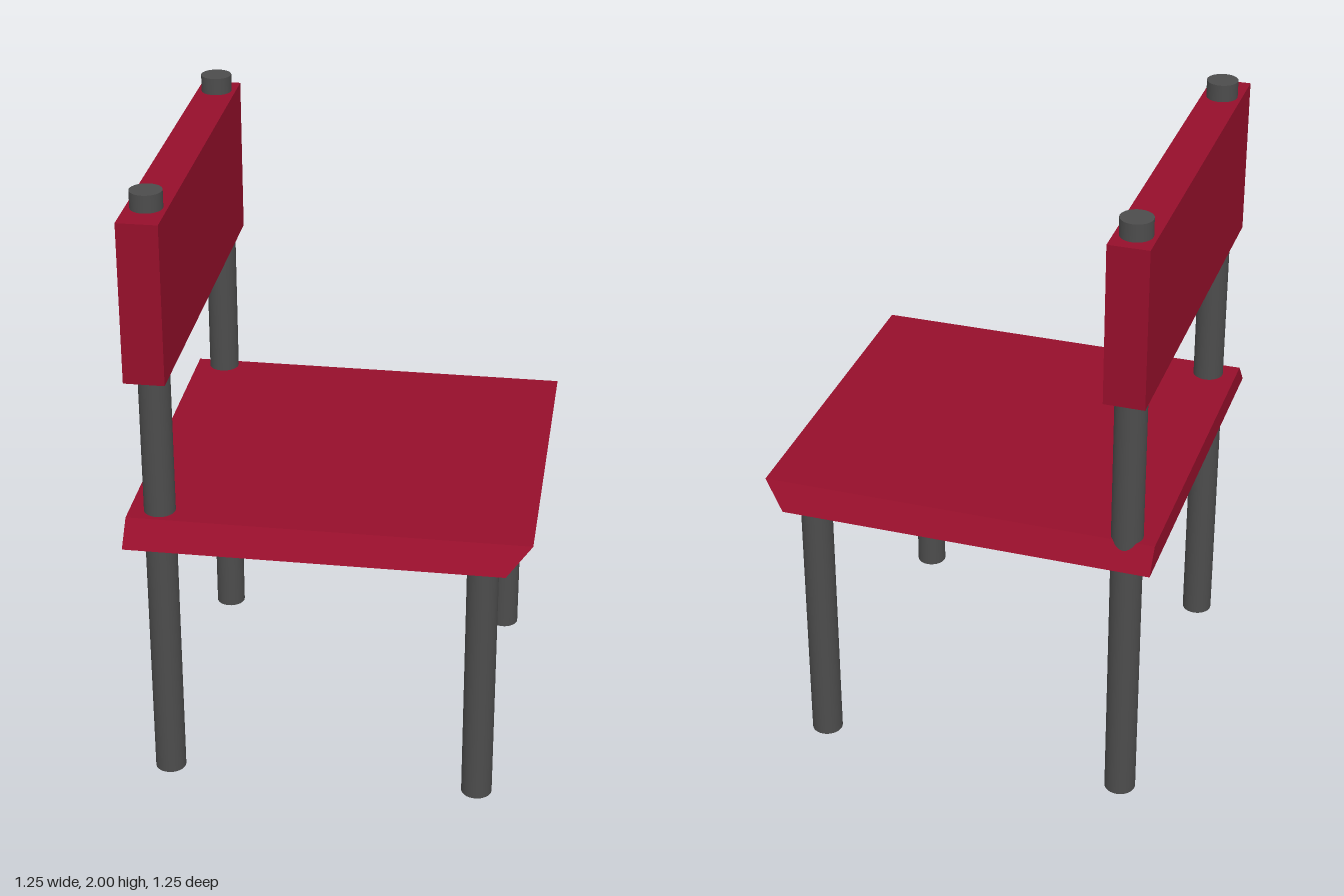
import * as THREE from 'three';

const red = new THREE.MeshStandardMaterial({ color: 0x960f2b });
const grey = new THREE.MeshStandardMaterial({ color: 0x4c4c4c });

function addPart(group, name, geometry, material, x, y, z) {
  const mesh = new THREE.Mesh(geometry, material);
  mesh.name = name;
  mesh.position.set(x, y, z);
  group.add(mesh);
}

// Board whose front edge leans out and whose sides lean in towards the top
function seatGeometry() {
  const geometry = new THREE.BoxGeometry(1, 0.076, 1);
  const p = geometry.attributes.position;
  for (let i = 0; i < p.count; i++) {
    const top = p.getY(i) > 0;
    p.setX(i, p.getX(i) < 0 ? -0.625 : top ? 0.62 : 0.545);
    p.setZ(i, p.getZ(i) < 0 ? (top ? -0.573 : -0.625) : (top ? 0.557 : 0.622));
  }
  geometry.computeVertexNormals();
  return geometry;
}

export function createModel() {
  const chair = new THREE.Group();
  chair.name = 'chair';

  addPart(chair, 'seat', seatGeometry(), red, 0, 0.913, 0);
  addPart(chair, 'backrest', new THREE.BoxGeometry(0.125, 0.505, 1.247), red, -0.532, 1.693, -0.001);

  // Tall posts carry the backrest, short legs stop under the seat
  const post = new THREE.CylinderGeometry(0.049, 0.049, 2, 32);
  const leg = new THREE.CylinderGeometry(0.049, 0.049, 0.88, 32);
  for (const [side, z] of [['left', -0.54], ['right', 0.493]]) {
    addPart(chair, side + 'BackPost', post, grey, -0.532, 1, z);
    addPart(chair, side + 'FrontLeg', leg, grey, 0.467, 0.44, z);
  }
  return chair;
}
